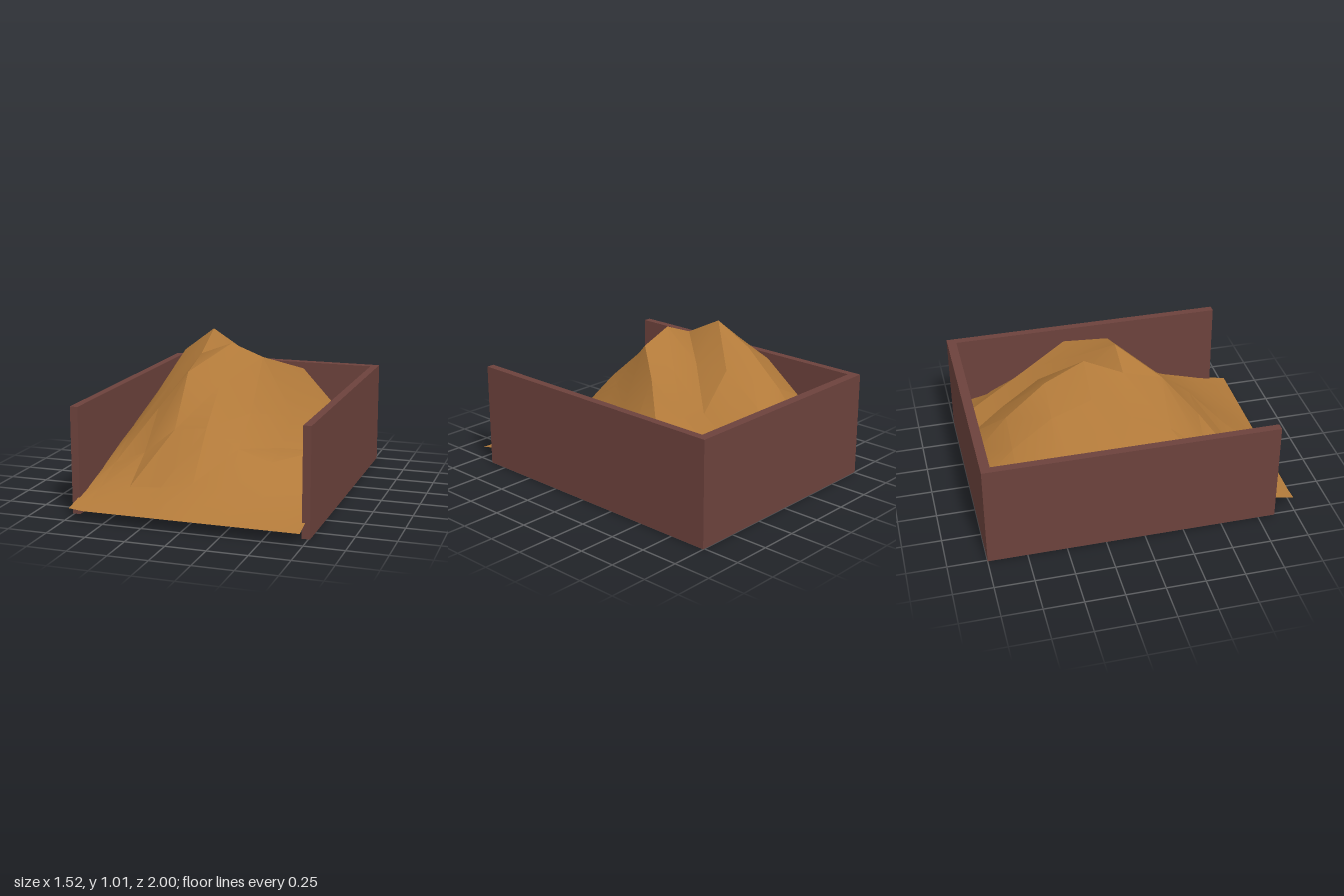
import * as THREE from 'three';
import { toCreasedNormals } from 'three/addons/utils/BufferGeometryUtils.js';

export function createModel() {
  const model = new THREE.Group();
  const wallMat = new THREE.MeshStandardMaterial({ name: 'brownWall', color: 0x6c423c });
  const sandMat = new THREE.MeshStandardMaterial({ name: 'sand', color: 0xb27a3a, side: THREE.DoubleSide });

  // Three walls of the open-fronted bay
  function wall(name, x0, x1, z0, z1) {
    const height = 0.68;
    const mesh = new THREE.Mesh(new THREE.BoxGeometry(x1 - x0, height, z1 - z0), wallMat);
    mesh.position.set((x0 + x1) / 2, height / 2, (z0 + z1) / 2);
    mesh.name = name;
    model.add(mesh);
  }
  wall('backWall', -0.76, 0.76, -1, -0.94);
  wall('rightWall', -0.76, -0.71, -0.94, 0.86);
  wall('leftWall', 0.71, 0.76, -0.94, 0.88);

  // Heap of loose material: a coarse height field, rows from back to front
  const xs = [-0.72, -0.63, -0.425, -0.22, -0.01, 0.2, 0.405, 0.61, 0.73];
  const zs = [-0.95, -0.76, -0.51, -0.26, -0.01, 0.245, 0.495, 0.745, 1];
  const heights = [
    [0.20, 0.26, 0.37, 0.45, 0.44, 0.25, 0.30, 0.22, 0.18],
    [0.30, 0.40, 0.57, 0.67, 0.60, 0.38, 0.43, 0.27, 0.22],
    [0.40, 0.53, 0.76, 0.885, 0.78, 0.55, 0.60, 0.43, 0.32],
    [0.42, 0.55, 0.855, 1.01, 0.77, 0.77, 0.775, 0.40, 0.30],
    [0.35, 0.45, 0.69, 0.885, 0.965, 0.885, 0.51, 0.29, 0.27],
    [0.28, 0.36, 0.56, 0.81, 0.73, 0.57, 0.36, 0.35, 0.27],
    [0.20, 0.24, 0.325, 0.49, 0.515, 0.40, 0.33, 0.24, 0.20],
    [0.13, 0.14, 0.17, 0.185, 0.23, 0.20, 0.17, 0.15, 0.13],
    [0.08, 0.07, 0.07, 0.07, 0.07, 0.07, 0.07, 0.07, 0.07],
  ];
  const positions = [];
  const index = [];
  const n = xs.length;
  zs.forEach((z, j) => xs.forEach((x, i) => positions.push(x, heights[j][i], z)));
  for (let j = 0; j < zs.length - 1; j++) {
    for (let i = 0; i < n - 1; i++) {
      const a = j * n + i, b = a + 1, c = a + n, d = c + 1;
      index.push(a, c, b, b, c, d);
    }
  }
  const geometry = new THREE.BufferGeometry();
  geometry.setAttribute('position', new THREE.Float32BufferAttribute(positions, 3));
  geometry.setIndex(index);
  const heap = new THREE.Mesh(toCreasedNormals(geometry, 0.45), sandMat);
  heap.name = 'sandHeap';
  model.add(heap);

  return model;
}
